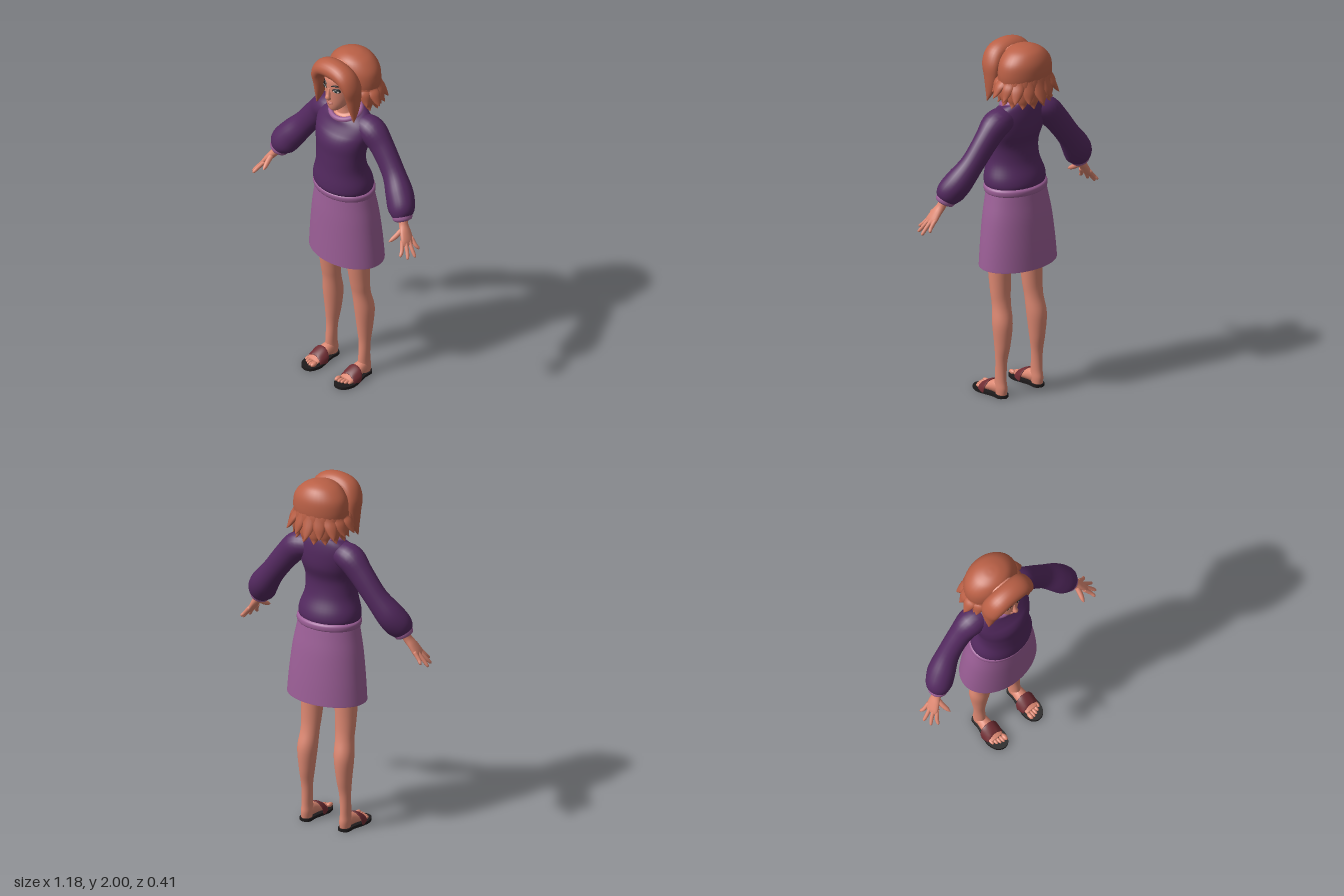
import * as THREE from 'three';

const mat = (name, color, side = THREE.FrontSide) => {
  const m = new THREE.MeshStandardMaterial({ color, side });
  m.name = name;
  return m;
};

// Catmull-Rom smoothing of rows of numbers
function smooth(rows, n) {
  const out = [];
  const at = i => rows[Math.min(rows.length - 1, Math.max(0, i))];
  for (let i = 0; i < rows.length - 1; i++) {
    for (let k = 0; k < n; k++) {
      const t = k / n;
      out.push(rows[i].map((b, c) => {
        const a = at(i - 1)[c], d = at(i + 1)[c], e = at(i + 2)[c];
        return b + 0.5 * t * (d - a + t * (2 * a - 5 * b + 4 * d - e + t * (3 * (b - d) + e - a)));
      }));
    }
  }
  out.push(rows[rows.length - 1]);
  return out;
}

// Skin a list of closed rings (arrays of Vector3), optionally closing the ends
function skinRings(rings, caps) {
  const n = rings[0].length, pos = [], idx = [];
  rings.forEach(r => r.forEach(p => pos.push(p.x, p.y, p.z)));
  for (let i = 0; i < rings.length - 1; i++) {
    for (let j = 0; j < n; j++) {
      const a = i * n + j, b = i * n + (j + 1) % n;
      idx.push(a, b, b + n, a, b + n, a + n);
    }
  }
  if (caps) {
    [0, rings.length - 1].forEach((r, end) => {
      const c = new THREE.Vector3();
      rings[r].forEach(p => c.addScaledVector(p, 1 / n));
      const ci = pos.length / 3;
      pos.push(c.x, c.y, c.z);
      for (let j = 0; j < n; j++) {
        const a = r * n + j, b = r * n + (j + 1) % n;
        if (end) idx.push(ci, a, b); else idx.push(ci, b, a);
      }
    });
  }
  const g = new THREE.BufferGeometry();
  g.setAttribute('position', new THREE.Float32BufferAttribute(pos, 3));
  g.setIndex(idx);
  g.computeVertexNormals();
  return g;
}

// Horizontal ellipses from bottom to top: [y, x, z, rx, rz]
function stack(rows, { segs = 32, caps = true, steps = 5, bend = y => y } = {}) {
  return skinRings(smooth(rows, steps).map(([y, x, z, rx, rz]) =>
    Array.from({ length: segs }, (_, j) => {
      const a = j / segs * Math.PI * 2, pz = z - rz * Math.sin(a);
      return new THREE.Vector3(x + rx * Math.cos(a), bend(y, pz), pz);
    })), caps);
}

// Ellipses along a path: [x, y, z, thickness, width]; width lies along hint
function limb(rows, hint = [0, 0, 1], segs = 16, steps = 5) {
  const s = smooth(rows.map(r => r.length < 5 ? [...r, r[3]] : r), steps);
  const P = s.map(r => new THREE.Vector3(r[0], r[1], r[2]));
  const h = new THREE.Vector3(...hint);
  return skinRings(s.map((r, i) => {
    const t = P[Math.min(i + 1, P.length - 1)].clone().sub(P[Math.max(i - 1, 0)]).normalize();
    const u = h.clone().cross(t).normalize(), v = t.clone().cross(u);
    return Array.from({ length: segs }, (_, j) => {
      const a = j / segs * Math.PI * 2;
      return P[i].clone().addScaledVector(u, Math.cos(a) * r[3]).addScaledVector(v, Math.sin(a) * r[4]);
    });
  }), true);
}

export function createModel() {
  const root = new THREE.Group();
  const skin = mat('skin', 0xdd8872), hair = mat('hair', 0xba6046), sweater = mat('sweater purple', 0x53295f);
  const lilac = mat('lilac', 0x9c5f97, THREE.DoubleSide), strapRed = mat('strap red', 0x6e2c32);
  const dark = mat('dark', 0x1e1b1c), white = mat('eye white', 0xd8d0cc), iris = mat('iris', 0x3d4a4a), lip = mat('lips', 0xb9685c);
  const add = (name, geo, m) => {
    const mesh = new THREE.Mesh(geo, m);
    mesh.name = name;
    root.add(mesh);
    return mesh;
  };
  const ball = (name, m, p, s, ry = 0) => {
    const b = add(name, new THREE.SphereGeometry(1, 20, 14), m);
    b.position.set(...p);
    b.scale.set(...s);
    b.rotation.y = ry;
  };
  // neckline drops towards the front
  const neckline = (y, z) => y - 0.32 * z * Math.min(1, Math.max(0, (y - 1.54) / 0.12));

  // Torso and neck
  add('sweaterBody', stack([
    [1.185, 0, 0.032, 0.16, 0.125], [1.205, 0, 0.033, 0.176, 0.141], [1.25, 0, 0.037, 0.174, 0.138],
    [1.33, 0, 0.048, 0.15, 0.119], [1.42, 0, 0.05, 0.15, 0.112], [1.5, 0, 0.036, 0.166, 0.122],
    [1.57, 0, 0.018, 0.18, 0.108], [1.62, 0, 0.01, 0.165, 0.093], [1.652, 0, 0.01, 0.12, 0.082],
    [1.66, 0, 0.012, 0.085, 0.07]], { segs: 40, bend: neckline }), sweater);
  add('neck', stack([[1.6, 0, 0.012, 0.08, 0.068], [1.66, 0, 0.014, 0.075, 0.065], [1.675, 0, 0.018, 0.05, 0.048],
    [1.72, 0, 0.025, 0.043, 0.043], [1.78, 0, 0.03, 0.043, 0.045]], { bend: (y, z) => y < 1.68 ? neckline(y, z) : y }), skin);
  const collar = add('collar', new THREE.TorusGeometry(0.086, 0.015, 12, 48), lilac);
  collar.position.set(0, 1.652, 0.013);
  collar.rotation.x = Math.PI / 2 + 0.32;
  collar.scale.set(1, 0.92, 1.2);

  // Skirt with waistband
  add('skirt', stack([[0.75, 0, 0.008, 0.23, 0.163], [0.76, 0, 0.008, 0.23, 0.163], [0.88, 0, 0.011, 0.22, 0.158],
    [1.02, 0, 0.016, 0.203, 0.149], [1.12, 0, 0.021, 0.184, 0.138], [1.18, 0, 0.024, 0.172, 0.131]],
  { segs: 48, caps: false }), lilac);
  add('waistband', stack([[1.158, 0, 0.026, 0.165, 0.125], [1.163, 0, 0.026, 0.18, 0.142],
    [1.19, 0, 0.028, 0.182, 0.145], [1.203, 0, 0.03, 0.165, 0.13]], { segs: 48 }), lilac);

  // Head and face
  add('head', stack([[1.693, 0, 0.1, 0.012, 0.014], [1.703, 0, 0.092, 0.033, 0.038], [1.735, 0, 0.07, 0.058, 0.068],
    [1.78, 0, 0.05, 0.077, 0.09], [1.84, 0, 0.03, 0.088, 0.112], [1.9, 0, 0.02, 0.09, 0.118],
    [1.955, 0, 0.01, 0.06, 0.08], [1.975, 0, 0.01, 0.01, 0.01]]), skin);
  add('nose', limb([[0, 1.845, 0.136, 0.006, 0.008], [0, 1.81, 0.145, 0.01, 0.011],
    [0, 1.79, 0.15, 0.015, 0.015], [0, 1.778, 0.14, 0.012, 0.01]]), skin);
  ball('upperLip', lip, [0, 1.757, 0.137], [0.024, 0.005, 0.009]);
  ball('lowerLip', lip, [0, 1.748, 0.135], [0.02, 0.006, 0.01]);
  for (const s of [1, -1]) {
    const turn = s * 0.42;
    ball('eyeLiner', dark, [s * 0.041, 1.84, 0.127], [0.025, 0.015, 0.006], turn);
    ball('eyeWhite', white, [s * 0.041, 1.837, 0.128], [0.02, 0.0105, 0.007], turn);
    ball('iris', iris, [s * 0.041, 1.838, 0.13], [0.011, 0.0105, 0.007], turn);
    ball('pupil', dark, [s * 0.041, 1.838, 0.133], [0.006, 0.006, 0.005], turn);
    add('eyebrow', limb([[s * 0.015, 1.862, 0.14, 0.004], [s * 0.04, 1.871, 0.131, 0.005],
      [s * 0.066, 1.864, 0.106, 0.002]], [0, 0, 1], 8), dark);
  }

  // Hair: back cap, front arch framing the face, flared locks
  add('hairBack', stack([[1.75, 0, -0.045, 0.125, 0.09], [1.765, 0, -0.045, 0.145, 0.105], [1.8, 0, -0.05, 0.153, 0.115],
    [1.86, 0, -0.052, 0.158, 0.119], [1.92, 0, -0.052, 0.145, 0.112], [1.968, 0, -0.048, 0.102, 0.088],
    [1.992, 0, -0.045, 0.05, 0.048], [1.998, 0, -0.045, 0.008, 0.008]]), hair);
  const strand = [[0.137, 1.668, 0.095, 0.003, 0.003], [0.128, 1.735, 0.083, 0.02, 0.032], [0.121, 1.81, 0.08, 0.033, 0.05],
    [0.115, 1.875, 0.088, 0.038, 0.06], [0.075, 1.928, 0.097, 0.047, 0.062]];
  add('hairFront', limb([...strand, [0, 1.943, 0.098, 0.052, 0.062],
    ...strand.slice().reverse().map(([x, ...r]) => [-x, ...r])], [0, 0, 1], 24, 6), hair);
  const lock = (deg, tipY, reach, name) => {
    const a = deg * Math.PI / 180, sx = Math.sin(a), cz = -Math.cos(a);
    const at = (k, y, t, w) => [sx * 0.152 * k, y, -0.05 + cz * 0.116 * k, t, w];
    add(name, limb([at(0.82, 1.89, 0.012, 0.025), at(0.91, 1.82, 0.018, 0.036), at(0.95 * (1 + reach) / 2, tipY + 0.055, 0.016, 0.033),
      at(reach * 0.96, tipY + 0.02, 0.009, 0.018), at(reach * 1.04, tipY, 0.001, 0.001)],
    [Math.cos(a), 0, sx], 12), hair);
  };
  for (let i = -5; i <= 5; i++) lock(i * 24, 1.71 + 0.007 * Math.abs(i), i % 2 ? 1.2 : 1.28, 'outerLock');
  for (let i = -4.5; i <= 4.5; i++) lock(i * 24, 1.675 + 0.005 * Math.abs(i), 1.02, 'innerLock');

  for (const s of [1, -1]) {
    const m = rows => rows.map(([x, ...r]) => [s * x, ...r]);
    // Sleeve, cuff
    add('sleeve', limb(m([[0.09, 1.585, -0.005, 0.065], [0.165, 1.575, -0.015, 0.076], [0.235, 1.505, -0.02, 0.07, 0.062],
      [0.325, 1.39, -0.012, 0.066, 0.06], [0.395, 1.3, 0.012, 0.076, 0.074], [0.435, 1.24, 0.038, 0.077, 0.07],
      [0.453, 1.205, 0.05, 0.058, 0.056], [0.458, 1.195, 0.052, 0.04]]), [0, 0, 1], 24), sweater);
    add('cuff', limb(m([[0.446, 1.218, 0.046, 0.04], [0.45, 1.21, 0.048, 0.054, 0.052], [0.46, 1.187, 0.055, 0.052, 0.05],
      [0.464, 1.178, 0.057, 0.036]]), [0, 0, 1], 24, 4), lilac);
    // Hand with fingers and thumb
    add('hand', limb(m([[0.455, 1.21, 0.05, 0.026], [0.475, 1.165, 0.062, 0.023, 0.026], [0.5, 1.13, 0.073, 0.02, 0.034],
      [0.525, 1.092, 0.083, 0.016, 0.04], [0.538, 1.072, 0.088, 0.009, 0.034]])), skin);
    [[0.535, 0.056, 0.572, 1.042, 0.047], [0.536, 0.077, 0.588, 1.018, 0.09],
      [0.533, 0.097, 0.577, 1.02, 0.132], [0.524, 0.113, 0.55, 1.035, 0.158]].forEach(([kx, kz, tx, ty, tz]) => {
      add('finger', limb(m([[kx - 0.012, 1.1, kz - 0.003, 0.011], [(kx + tx) / 2, (1.085 + ty) / 2, (kz + tz) / 2, 0.0105],
        [tx - 0.004, ty + 0.006, tz - 0.003, 0.008], [tx, ty, tz, 0.002]]), [0, 0, 1], 10, 4), skin);
    });
    add('thumb', limb(m([[0.485, 1.145, 0.08, 0.014], [0.48, 1.122, 0.115, 0.014], [0.472, 1.104, 0.145, 0.011],
      [0.467, 1.095, 0.163, 0.002]]), [1, 0, 0], 10, 4), skin);

    // Leg and foot
    add('leg', stack([[0.015, 0.122, -0.004, 0.027, 0.034], [0.05, 0.122, -0.001, 0.03, 0.04], [0.1, 0.122, 0.001, 0.028, 0.036],
      [0.2, 0.121, -0.003, 0.031, 0.033], [0.3, 0.118, -0.008, 0.042, 0.046], [0.42, 0.116, -0.006, 0.054, 0.056],
      [0.52, 0.11, 0.01, 0.052, 0.049], [0.6, 0.108, 0.021, 0.057, 0.052], [0.75, 0.105, 0.031, 0.064, 0.063],
      [0.98, 0.1, 0.032, 0.072, 0.075]].map(([y, x, ...r]) => [y, s * x, ...r])), skin);
    add('foot', limb(m([[0.122, 0.045, -0.025, 0.022, 0.026], [0.122, 0.052, 0.01, 0.031, 0.038], [0.123, 0.046, 0.06, 0.037, 0.032],
      [0.124, 0.034, 0.11, 0.044, 0.02], [0.124, 0.027, 0.145, 0.041, 0.012]]), [0, 1, 0]), skin);
    for (let i = 0; i < 5; i++) {
      const x = 0.09 + i * 0.0175, r = i ? 0.0095 : 0.013;
      ball('toe', skin, [s * x, 0.017 + r, 0.165 - i * i * 0.0018], [r, r, 0.022]);
    }

    // Sandal
    const outline = new THREE.Shape();
    outline.setFromPoints(new THREE.SplineCurve([[0.122, 0.045], [0.154, 0.025], [0.158, -0.03], [0.174, -0.09],
      [0.179, -0.14], [0.16, -0.188], [0.122, -0.206], [0.085, -0.19], [0.068, -0.14], [0.075, -0.09], [0.088, -0.03], [0.09, 0.025],
      [0.122, 0.045]].map(([x, y]) => new THREE.Vector2(s * x, y))).getPoints(60));
    const sole = new THREE.ExtrudeGeometry(outline, { depth: 0.016, bevelEnabled: false });
    add('sandalSole', sole.rotateX(-Math.PI / 2), dark);
    add('sandalStrap', limb(m([[0.073, 0.012, 0.105, 0.005, 0.026], [0.08, 0.038, 0.1, 0.006, 0.03], [0.1, 0.06, 0.095, 0.006, 0.033],
      [0.125, 0.066, 0.093, 0.006, 0.034], [0.15, 0.058, 0.095, 0.006, 0.033], [0.168, 0.036, 0.1, 0.006, 0.03],
      [0.174, 0.012, 0.105, 0.005, 0.026]]), [0, 0.5, -1]), strapRed);
  }
  return root;
}
